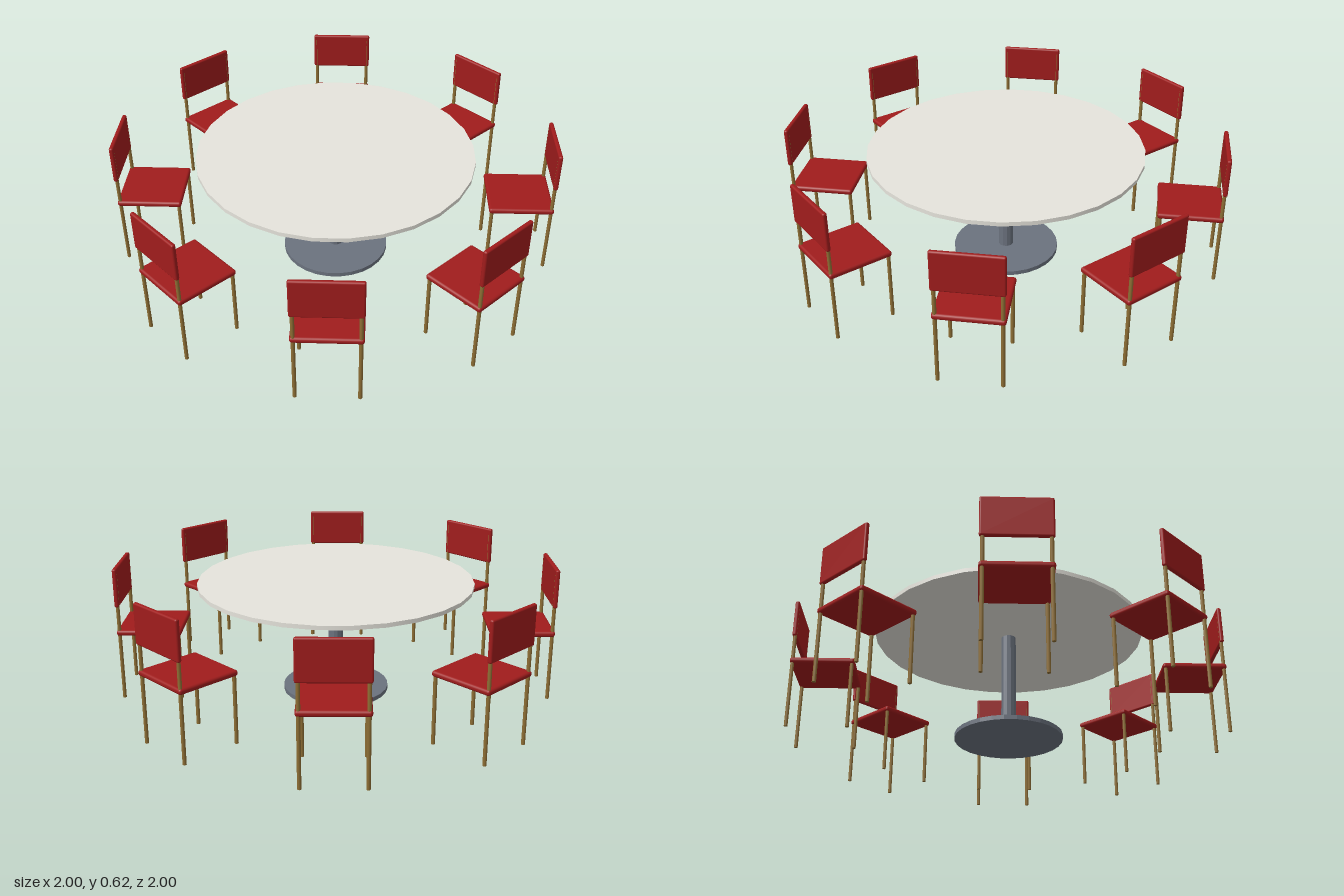
import * as THREE from 'three';
import { RoundedBoxGeometry } from 'three/addons/geometries/RoundedBoxGeometry.js';

function material(name, color, flatShading = false) {
  const m = new THREE.MeshStandardMaterial({ color, flatShading });
  m.name = name;
  return m;
}

function addMesh(parent, name, geometry, mat, x, y, z) {
  const mesh = new THREE.Mesh(geometry, mat);
  mesh.name = name;
  mesh.position.set(x, y, z);
  parent.add(mesh);
  return mesh;
}

export function createModel() {
  const red = material('red upholstery', 0xa01c1c);
  const brass = material('brass legs', 0x8f6f35);
  const stone = material('pale table top', 0xe6e4dc);
  const steel = material('grey steel', 0x6b727e, true);

  const model = new THREE.Group();
  model.name = 'diningSet';

  // Round pedestal table
  const table = new THREE.Group();
  table.name = 'table';
  model.add(table);
  addMesh(table, 'tableTop', new THREE.CylinderGeometry(0.636, 0.636, 0.019, 28), stone, 0, 0.529, 0);
  addMesh(table, 'tableColumn', new THREE.CylinderGeometry(0.035, 0.035, 0.5, 12), steel, 0, 0.27, 0);
  addMesh(table, 'tableBase', new THREE.CylinderGeometry(0.248, 0.248, 0.02, 28), steel, 0, 0.01, 0);

  // Shared chair parts
  const seat = new RoundedBoxGeometry(0.294, 0.026, 0.294, 2, 0.011);
  const backrest = new RoundedBoxGeometry(0.294, 0.18, 0.02, 2, 0.008);
  const frontLeg = new THREE.CylinderGeometry(0.0085, 0.0085, 0.315, 8);
  const backLeg = new THREE.CylinderGeometry(0.0085, 0.0085, 0.6, 8);

  // Eight chairs facing the table
  for (let i = 0; i < 8; i++) {
    const chair = new THREE.Group();
    chair.name = 'chair' + (i + 1);
    chair.rotation.y = i * Math.PI / 4;
    addMesh(chair, 'seat', seat, red, 0, 0.321, 0.852);
    addMesh(chair, 'backrest', backrest, red, 0, 0.535, 0.989);
    for (const side of [-1, 1]) {
      addMesh(chair, 'frontLeg', frontLeg, brass, side * 0.133, 0.1575, 0.718);
      addMesh(chair, 'backLeg', backLeg, brass, side * 0.133, 0.3, 0.987);
    }
    model.add(chair);
  }

  return model;
}
